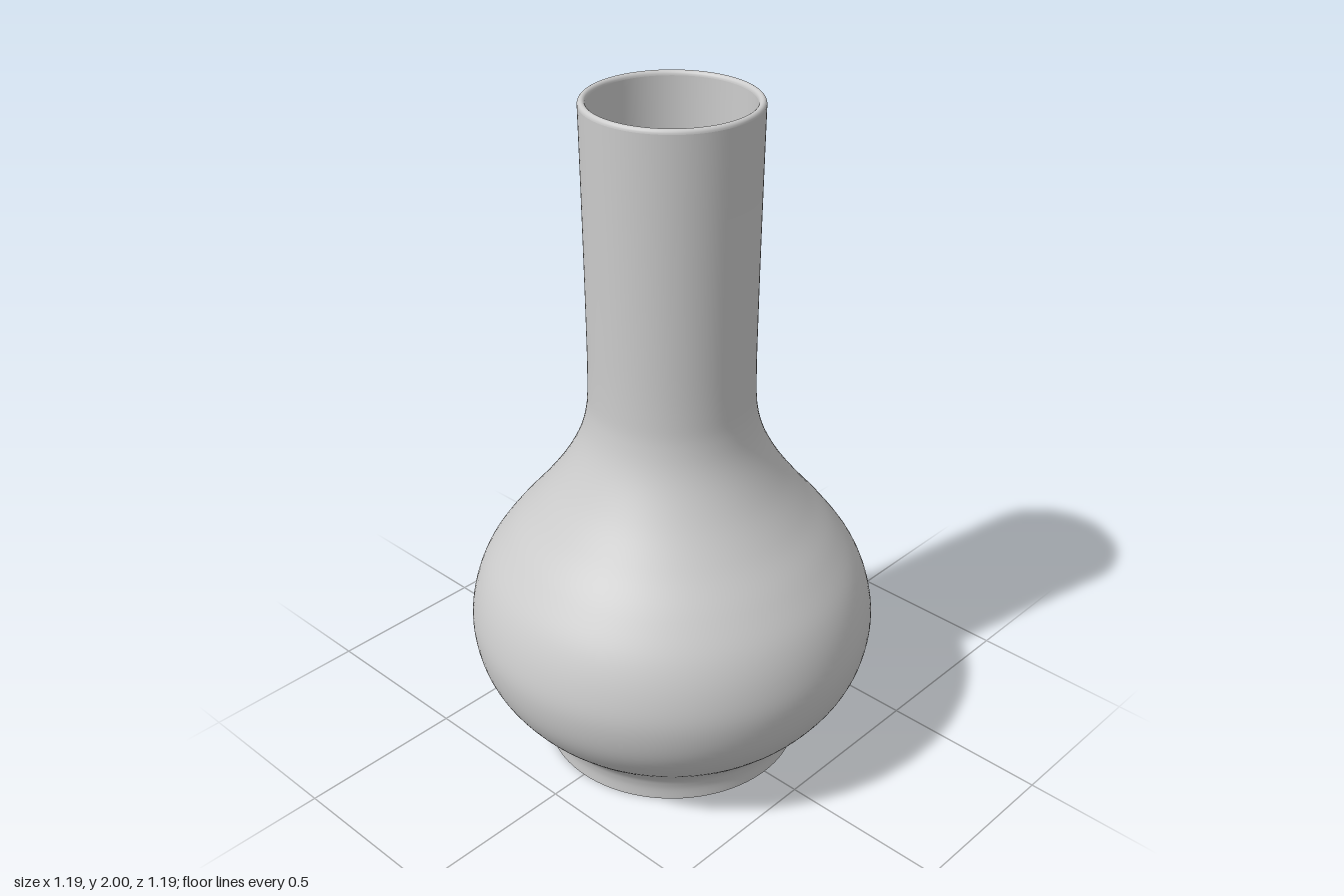
import * as THREE from 'three';

const SEGMENTS = 96;
const WALL = 0.021;

// Smooth curve through [radius, height] pairs
function smooth(pairs, steps) {
  return new THREE.SplineCurve(pairs.map(([r, y]) => new THREE.Vector2(r, y))).getPoints(steps);
}

export function createModel() {
  const vase = new THREE.Group();
  vase.name = 'vase';
  const material = new THREE.MeshStandardMaterial({ color: 0xcccccc });

  function turn(name, points) {
    const mesh = new THREE.Mesh(new THREE.LatheGeometry(points, SEGMENTS), material);
    mesh.name = name;
    vase.add(mesh);
  }

  // Foot, bulb and neck, from the ground up
  const body = smooth([
    [0.383, 0], [0.387, 0.05], [0.412, 0.1], [0.508, 0.2], [0.57, 0.3], [0.595, 0.41],
    [0.585, 0.51], [0.547, 0.61], [0.478, 0.71], [0.395, 0.81], [0.322, 0.91],
    [0.268, 1.01], [0.242, 1.1], [0.235, 1.2], [0.235, 1.4], [0.238, 1.7], [0.242, 1.988],
  ], 90);
  turn('outerWall', body);

  // Flat underside
  turn('base', [new THREE.Vector2(0, 0), new THREE.Vector2(0.383, 0)]);

  // Rounded rim joining the two walls
  const rim = [];
  for (let i = 0; i <= 10; i++) {
    const a = (i / 10) * Math.PI;
    rim.push(new THREE.Vector2(0.242 - WALL / 2 + Math.cos(a) * WALL / 2, 1.988 + Math.sin(a) * 0.012));
  }
  turn('rim', rim);

  // Hollow inside, from the rim down to the floor
  const inside = smooth([
    [0.221, 1.988], [0.217, 1.7], [0.214, 1.4], [0.214, 1.2], [0.221, 1.1], [0.25, 1],
    [0.306, 0.9], [0.379, 0.8], [0.461, 0.7], [0.527, 0.6], [0.564, 0.5], [0.574, 0.41],
    [0.55, 0.305], [0.493, 0.215], [0.4, 0.12], [0.366, 0.06],
  ], 80);
  turn('innerWall', inside);
  turn('innerFloor', [new THREE.Vector2(0.366, 0.06), new THREE.Vector2(0, 0.06)]);

  return vase;
}
